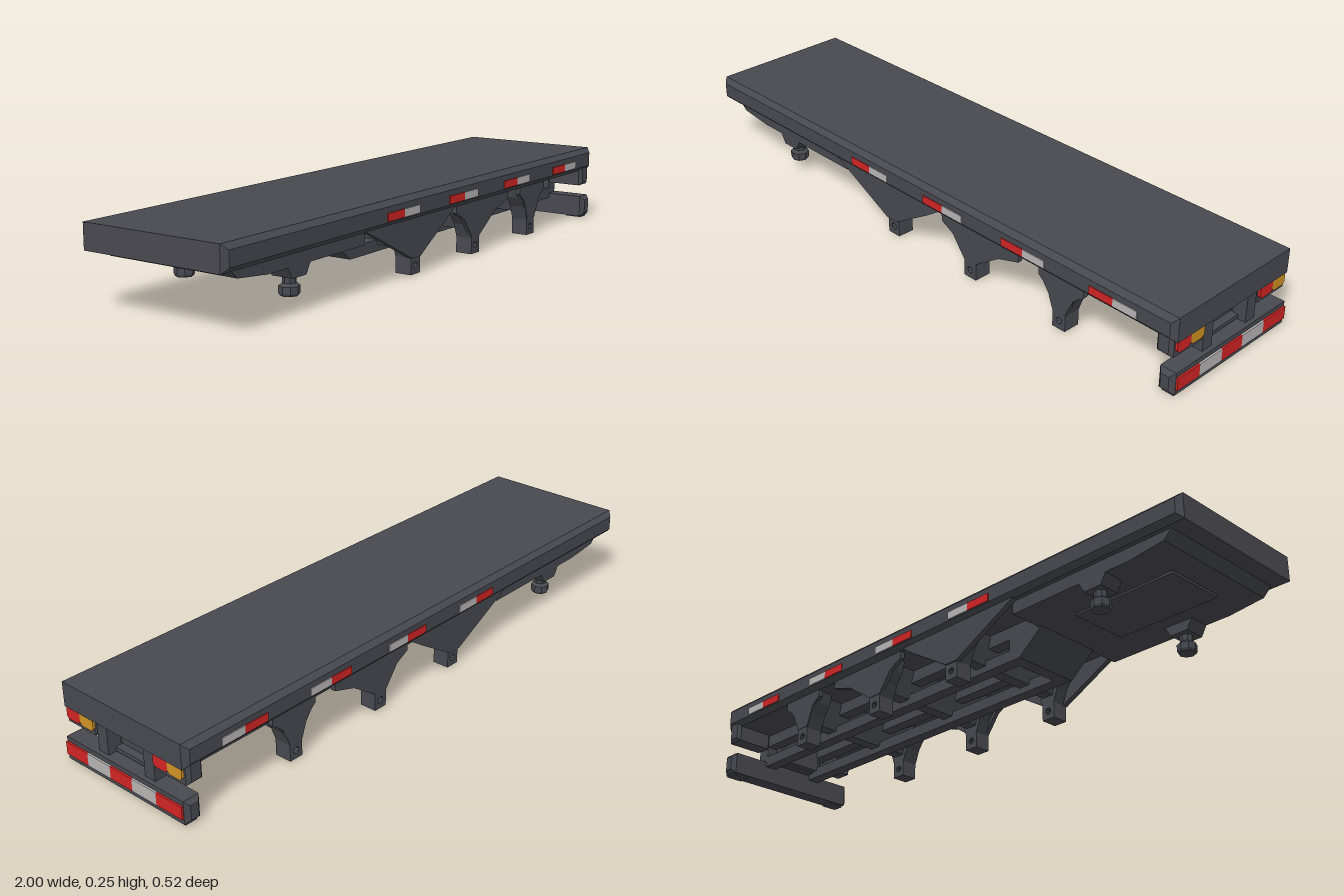
import * as THREE from 'three';

export function createModel() {
  const root = new THREE.Group();
  root.name = 'flatbedTrailer';
  const paint = (name, color) => {
    const m = new THREE.MeshStandardMaterial({ color });
    m.name = name;
    return m;
  };
  const steel = paint('darkSteel', 0x484950);
  const red = paint('red', 0xd42424);
  const white = paint('reflectorWhite', 0xb8b5b5);
  const amber = paint('amber', 0xd09324);

  const add = (name, geo, mat = steel) => {
    const mesh = new THREE.Mesh(geo, mat);
    mesh.name = name;
    root.add(mesh);
    return mesh;
  };
  // box given by its limits on each axis
  const box = (name, x0, x1, y0, y1, z0, z1, mat) => {
    const geo = new THREE.BoxGeometry(x1 - x0, y1 - y0, z1 - z0);
    geo.translate((x0 + x1) / 2, (y0 + y1) / 2, (z0 + z1) / 2);
    return add(name, geo, mat);
  };
  // side profile in x,y extruded between two z limits, with optional chamfer and round hole
  const profile = (name, pts, z0, z1, bevel = 0, hole = null, mat = steel) => {
    const shape = new THREE.Shape(pts.map(([x, y]) => new THREE.Vector2(x, y)));
    if (hole) {
      const path = new THREE.Path();
      path.absarc(hole[0], hole[1], 0.011, 0, Math.PI * 2, true);
      shape.holes.push(path);
    }
    const geo = new THREE.ExtrudeGeometry(shape, {
      depth: z1 - z0 - 2 * bevel, curveSegments: 4, bevelEnabled: bevel > 0,
      bevelThickness: bevel, bevelSize: bevel, bevelOffset: -bevel, bevelSegments: 1,
    });
    geo.translate(0, 0, z0 + bevel);
    return add(name, geo, mat);
  };
  const rect = (x0, x1, y0, y1) => [[x0, y0], [x1, y0], [x1, y1], [x0, y1]];

  // load deck with chamfered edges, and the sill below it
  profile('deck', rect(-1, 0.99, 0.172, 0.25), -0.255, 0.255, 0.016);

  // stepped gooseneck underplate with a tapering tail
  profile('gooseneckPlate', [[-0.95, 0.175], [-0.92, 0.145], [-0.8, 0.132], [-0.37, 0.132], [-0.37, 0.175]], -0.225, 0.225);
  box('couplerPlate', -0.85, -0.5, 0.126, 0.134, -0.1, 0.1);

  // longitudinal members
  for (const s of [-1, 1]) {
    const zs = (a, b) => (s > 0 ? [a, b] : [-b, -a]);
    box('upperRail', -0.38, 0.95, 0.132, 0.18, ...zs(0.075, 0.115));
    box('lowerRail', -0.29, 0.95, 0.06, 0.096, ...zs(0.075, 0.115));

    // side skirt joining the gooseneck to the first hanger
    profile('slopingSkirt', [[-0.4, 0.18], [-0.37, 0.165], [-0.155, 0.055], [-0.11, 0.055], [0.03, 0.14], [0.09, 0.18]],
      ...zs(0.225, 0.243));

    // suspension hangers: pierced foot below a flared gusset
    for (const [x, l, r] of [[-0.13, 0.12, 0.13], [0.215, 0.12, 0.2], [0.575, 0.08, 0.09]]) {
      profile('suspensionHanger', [
        [x - 0.024, 0.003], [x + 0.024, 0.003], [x + 0.024, 0.055], [x + 0.04, 0.1],
        [x + 0.065, 0.135], [x + 0.075, 0.18], [x - 0.075, 0.18], [x - 0.065, 0.135],
        [x - 0.04, 0.1], [x - 0.024, 0.055],
      ], ...zs(0.182, 0.238), 0, [x, 0.03]);
      profile('hangerGusset', [
        [x - 0.024, 0.06], [x + 0.024, 0.06], [x + r * 0.6, 0.125], [x + r, 0.15],
        [x + r, 0.18], [x - l, 0.18], [x - l, 0.15], [x - l * 0.6, 0.125],
      ], ...zs(0.225, 0.24));
    }

    // landing foot: bracket, neck and pad
    const z = s * 0.19;
    profile('landingBracket', [[-0.72, 0.135], [-0.7, 0.1], [-0.64, 0.1], [-0.62, 0.135]], z - 0.035, z + 0.035);
    const foot = new THREE.LatheGeometry([
      [0, 0.045], [0.026, 0.045], [0.03, 0.052], [0.03, 0.072], [0.02, 0.08], [0.02, 0.104],
    ].map(([r, y]) => new THREE.Vector2(r, y)), 8).toNonIndexed();
    foot.computeVertexNormals();
    add('landingFoot', foot).position.set(-0.67, 0, z);

    // rear uprights, lamp housings and bumper feet
    box('rearUpright', 0.935, 0.98, 0.07, 0.18, ...zs(0.075, 0.115));
    profile('lampHousing', rect(0.925, 0.98, 0.12, 0.2), ...zs(0.113, 0.25), 0.01);
    box('bumperFoot', 0.95, 0.99, 0, 0.01, ...zs(0.182, 0.238));

    // side reflectors
    for (const x of [-0.302, 0.03, 0.362, 0.696]) {
      box('redSideReflector', x, x + 0.085, 0.191, 0.216, ...zs(0.252, 0.258), red);
      box('whiteSideReflector', x + 0.085, x + 0.168, 0.191, 0.216, ...zs(0.252, 0.258), white);
    }
  }

  // crossmembers at each hanger and their trapezoid braces
  for (const x of [-0.13, 0.215, 0.575]) {
    profile('crossmember', [[x - 0.02, 0.08], [x + 0.02, 0.08], [x + 0.045, 0.18], [x - 0.045, 0.18]], -0.19, 0.19);
  }
  profile('gooseneckBrace', [[-0.38, 0.175], [-0.38, 0.132], [-0.29, 0.06], [-0.25, 0.06], [-0.25, 0.175]], -0.115, 0.115);
  box('rearRecessPanel', 0.9, 0.93, 0.085, 0.185, -0.08, 0.08);
  box('rearRecessSill', 0.92, 0.955, 0.08, 0.092, -0.08, 0.08);

  // rear bumper with hazard stripes
  profile('rearBumper', rect(0.94, 0.994, 0.005, 0.077), -0.252, 0.252, 0.013);
  const cuts = [-0.238, -0.137, -0.04, 0.05, 0.145, 0.238];
  for (let i = 0; i < 5; i++) {
    box(i % 2 ? 'whiteBumperStripe' : 'redBumperStripe', 0.992, 1, 0.022, 0.062, cuts[i], cuts[i + 1], i % 2 ? white : red);
  }

  // tail lamps, red then amber on each side, with clipped corners
  const lamp = (name, z, mat) => {
    const w = 0.028, h = 0.024, c = 0.008;
    const shape = new THREE.Shape([
      [-w + c, -h], [w - c, -h], [w, -h + c], [w, h - c], [w - c, h], [-w + c, h], [-w, h - c], [-w, -h + c],
    ].map(([a, b]) => new THREE.Vector2(a, b)));
    const geo = new THREE.ExtrudeGeometry(shape, { depth: 0.009, bevelEnabled: false });
    geo.rotateY(Math.PI / 2);
    add(name, geo, mat).position.set(0.979, 0.159, z);
  };
  for (const z of [0.179, -0.178]) {
    lamp('redTailLamp', z + 0.028, red);
    lamp('amberTailLamp', z - 0.028, amber);
  }
  return root;
}
